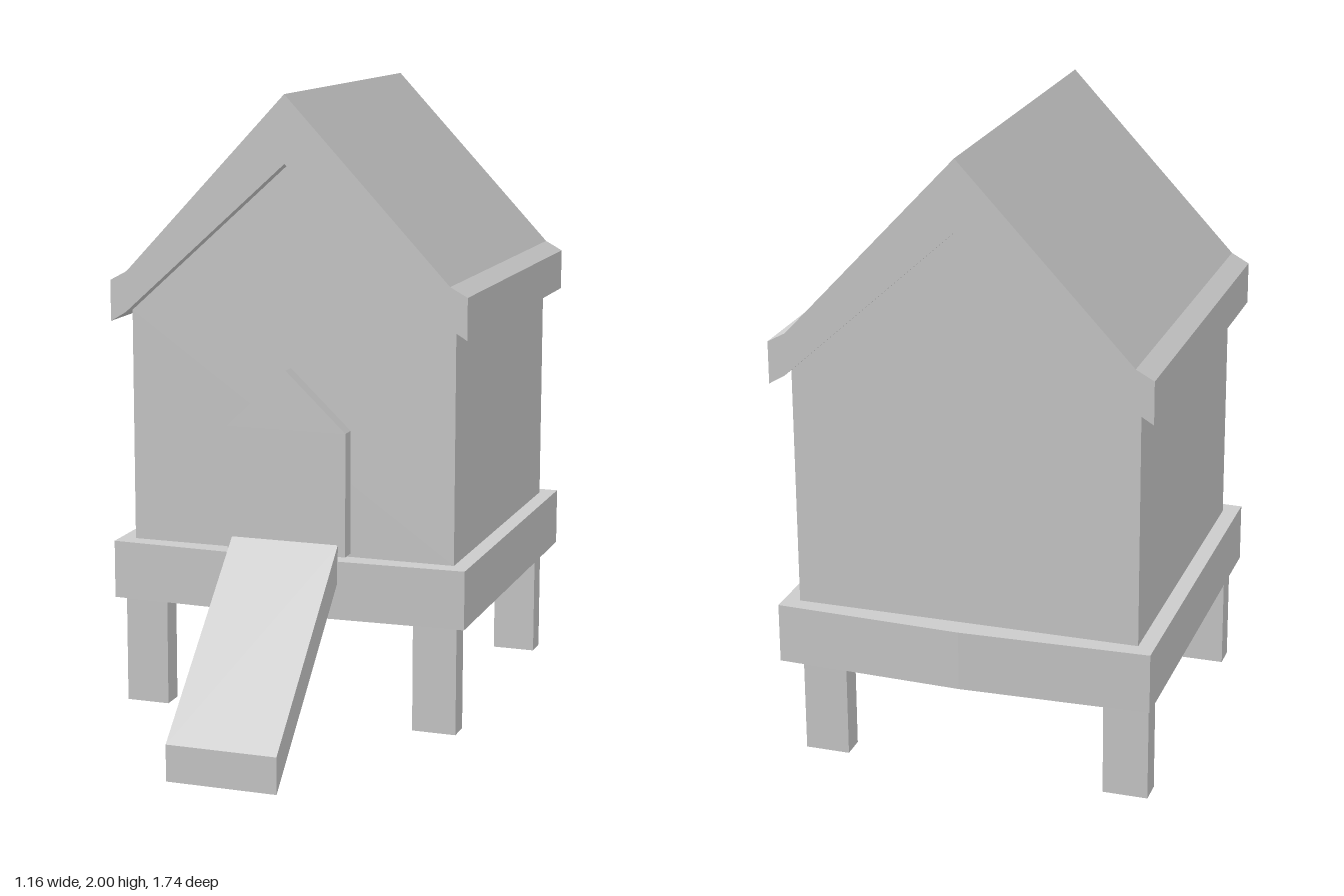
import * as THREE from 'three';

const material = new THREE.MeshStandardMaterial({ color: 0xcccccc, flatShading: true, side: THREE.DoubleSide });

const polygon = (points) => new THREE.Shape(points.map(([x, y]) => new THREE.Vector2(x, y)));

// Mirrors a right-hand profile (top centre downwards) across x = 0
const mirrored = (half) => [...half, ...half.filter(([x]) => x > 0).reverse().map(([x, y]) => [-x, y])];

// Extrudes a front-facing profile between two z positions
function slab(points, back, front) {
  return new THREE.ExtrudeGeometry(polygon(points), { depth: front - back, bevelEnabled: false }).translate(0, 0, back);
}

// Box shell without its bottom face
function openBox(w, h, d) {
  const geometry = new THREE.BoxGeometry(w, h, d);
  const index = Array.from(geometry.index.array);
  index.splice(18, 6);
  geometry.setIndex(index);
  return geometry;
}

// Floor outline with a slightly bowed front and back, in x and z
const bowed = (x, front, back, bow) => [
  [-x, back], [0, back - bow], [x, back], [x, front], [0, front + bow], [-x, front],
];

// Horizontal ring hanging down from the given height
function ring(outer, inner, top, depth) {
  const shape = polygon(outer);
  shape.holes.push(polygon(inner));
  return new THREE.ExtrudeGeometry(shape, { depth, bevelEnabled: false }).rotateX(Math.PI / 2).translate(0, top, 0);
}

export function createModel() {
  const model = new THREE.Group();
  const add = (name, geometry, parent = model) => {
    const mesh = new THREE.Mesh(geometry, material);
    mesh.name = name;
    parent.add(mesh);
    return mesh;
  };

  // Roof: thick gabled slab with flared eaves
  const roofHalf = [[0, 2], [0.525, 1.44], [0.58, 1.41], [0.58, 1.28], [0.53, 1.31]];
  const roof = [...mirrored(roofHalf), [0, 1.79]];
  // the inner ridge point closes the outline between both eaves
  const outline = [...roofHalf, [0, 1.79], ...roofHalf.slice(1).reverse().map(([x, y]) => [-x, y])];
  add('roof', slab(roof.length === outline.length ? outline : roof, -0.85, 0.315));

  // House: hollow walls, open underneath
  const house = new THREE.Group();
  house.name = 'house';
  model.add(house);
  const gable = mirrored([[0, 1.79], [0.53, 1.31], [0.53, 0.57]]);
  add('frontWall', new THREE.ShapeGeometry(polygon(gable)).translate(0, 0, 0.26), house);
  add('backWall', new THREE.ShapeGeometry(polygon(gable)).rotateY(Math.PI).translate(0, 0, -0.8), house);
  for (const side of [1, -1]) {
    const wall = new THREE.PlaneGeometry(1.06, 0.74).rotateY(side * Math.PI / 2).translate(side * 0.53, 0.94, -0.27);
    add(side > 0 ? 'leftWall' : 'rightWall', wall, house);
  }

  // Pointed door block set into the front wall
  add('door', slab(mirrored([[0, 1.155], [0.195, 0.97], [0.195, 0.58]]), 0.15, 0.31));

  // Platform: hanging curb plus a thin ledge that meets the walls
  const outer = bowed(0.58, 0.315, -0.85, 0.02);
  add('platformCurb', ring(outer, bowed(0.545, 0.28, -0.815, 0.02), 0.56, 0.175));
  add('platformLedge', ring(outer, bowed(0.53, 0.26, -0.8, 0), 0.57, 0.01));

  // Four hollow legs
  for (const x of [-0.48, 0.48]) {
    for (const z of [0.255, -0.705]) {
      add('leg', openBox(0.14, 0.35, 0.075).translate(x, 0.215, z));
    }
  }

  // Ramp: box shell sheared down towards the front
  const ramp = openBox(0.35, 0.115, 0.55);
  const p = ramp.attributes.position;
  for (let i = 0; i < p.count; i++) {
    p.setY(i, p.getY(i) - p.getZ(i) * (0.505 / 0.55));
  }
  ramp.computeVertexNormals();
  add('ramp', ramp.translate(0, 0.31, 0.597));

  return model;
}
